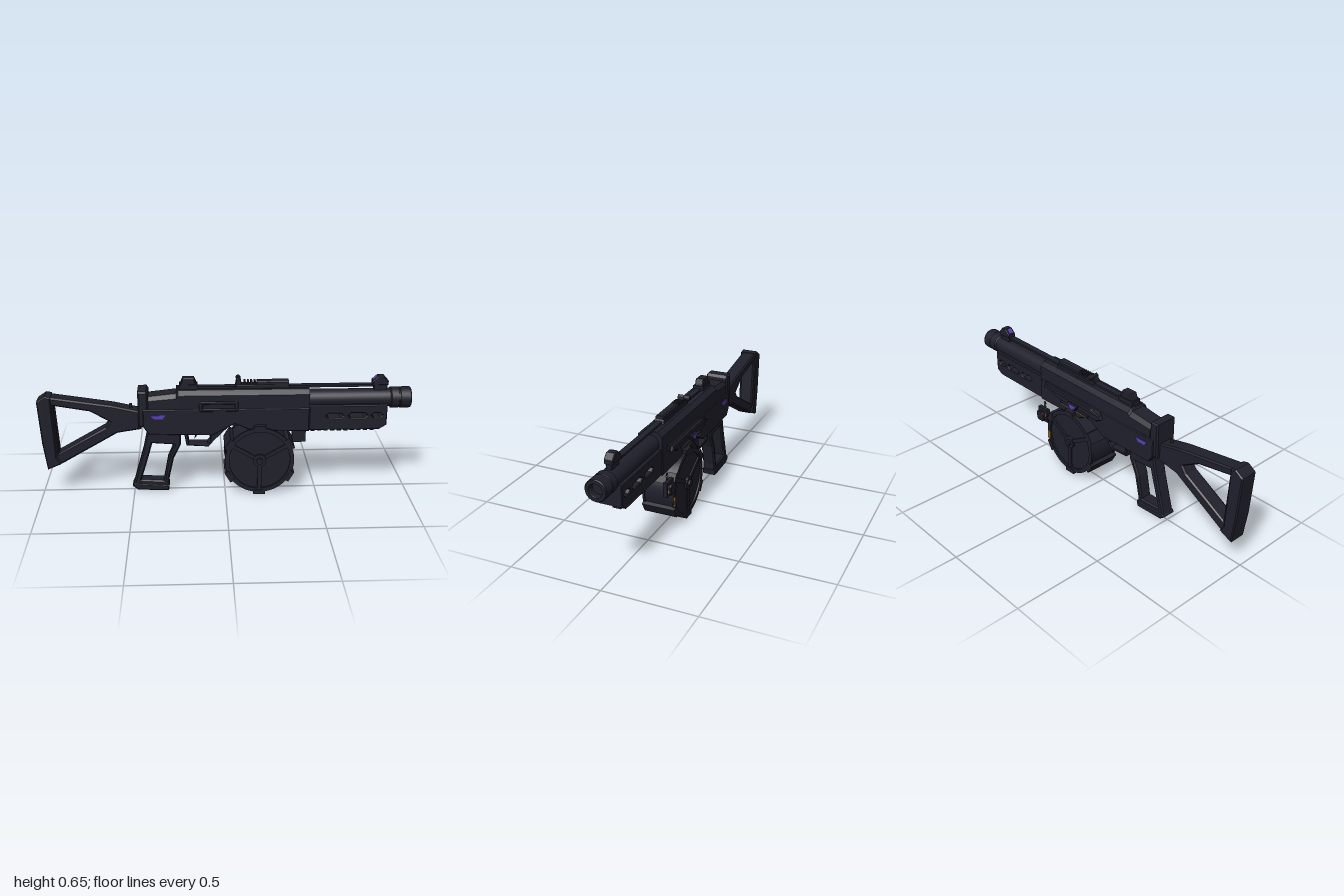
import * as THREE from 'three';

const mat = (name, color) => {
  const m = new THREE.MeshStandardMaterial({ color });
  m.name = name;
  return m;
};

export function createModel() {
  const dark = mat('gunmetal', 0x20202c);
  const purple = mat('purple accent', 0x5b40b8);
  const gold = mat('gold', 0xb07a2c);
  const root = new THREE.Group();
  root.name = 'toyBlaster';

  const add = (name, geo, m = dark, parent = root) => {
    const mesh = new THREE.Mesh(geo, m);
    mesh.name = name;
    parent.add(mesh);
    return mesh;
  };
  // Box given by its extents
  const box = (name, x0, x1, y0, y1, z0, z1, m = dark) => {
    const b = add(name, new THREE.BoxGeometry(x1 - x0, y1 - y0, z1 - z0), m);
    b.position.set((x0 + x1) / 2, (y0 + y1) / 2, (z0 + z1) / 2);
    return b;
  };
  // Counter-clockwise outline, so that walls and holes face the right way
  const outline = (pts) => {
    const v = pts.map(([x, y]) => new THREE.Vector2(x, y));
    return THREE.ShapeUtils.isClockWise(v) ? v.reverse() : v;
  };
  // Side outline extruded across z, with chamfered edges and optional holes
  const plate = (name, pts, z0, z1, bevel = 0, holes = [], m = dark) => {
    const shape = new THREE.Shape(outline(pts));
    holes.forEach((h) => shape.holes.push(new THREE.Path(outline(h).reverse())));
    const geo = new THREE.ExtrudeGeometry(shape, {
      depth: z1 - z0 - 2 * bevel, bevelEnabled: bevel > 0, bevelSize: bevel,
      bevelThickness: bevel, bevelOffset: -bevel, bevelSegments: 1,
    });
    geo.translate(0, 0, z0 + bevel);
    return add(name, geo, m);
  };
  // Chamfered-top section lofted along x; each station is [x, bottom, top, halfWidth, chamfer]
  const loft = (name, stations, zc) => {
    const rings = stations.map(([x, b, t, w, c]) =>
      [[b, -w], [t - c, -w], [t, c - w], [t, w - c], [t - c, w], [b, w]].map(([y, z]) => [x, y, z + zc]));
    const p = [];
    const n = 6;
    for (let i = 0; i < rings.length - 1; i++)
      for (let j = 0; j < n; j++) {
        const k = (j + 1) % n, A = rings[i], B = rings[i + 1];
        p.push(...A[j], ...A[k], ...B[k], ...A[j], ...B[k], ...B[j]);
      }
    const end = rings[rings.length - 1];
    for (let j = 1; j < n - 1; j++) {
      p.push(...rings[0][0], ...rings[0][j + 1], ...rings[0][j]);
      p.push(...end[0], ...end[j], ...end[j + 1]);
    }
    const g = new THREE.BufferGeometry();
    g.setAttribute('position', new THREE.Float32BufferAttribute(p, 3));
    g.computeVertexNormals();
    return add(name, g);
  };
  // Cylinder lying along x, y or z
  const rod = (name, r, len, axis, x, y, z, seg = 24, parent = root) => {
    const g = new THREE.CylinderGeometry(r, r, len, seg);
    if (axis === 'x') g.rotateZ(-Math.PI / 2);
    else if (axis === 'z') g.rotateX(Math.PI / 2);
    add(name, g, dark, parent).position.set(x, y, z);
  };

  // Stock with triangular opening and butt pad
  plate('stock', [[-0.99, 0.53], [-0.95, 0.565], [-0.6, 0.51], [-0.45, 0.475], [-0.45, 0.375],
    [-0.58, 0.355], [-0.885, 0.18], [-0.955, 0.155]], -0.04, 0.043, 0.008,
  [[[-0.915, 0.515], [-0.72, 0.48], [-0.62, 0.42], [-0.645, 0.385], [-0.9, 0.24]]]);
  plate('buttPad', [[-1, 0.54], [-0.955, 0.57], [-0.925, 0.564], [-0.912, 0.22], [-0.89, 0.18],
    [-0.965, 0.148], [-0.985, 0.3]], -0.048, 0.051, 0.006);
  rod('stockPin', 0.008, 0.03, 'y', -0.505, 0.495, 0.003, 10);

  // Receiver
  loft('receiverUpper', [[-0.41, 0.4, 0.562, 0.06, 0.02], [-0.26, 0.4, 0.578, 0.064, 0.022],
    [-0.25, 0.4, 0.595, 0.065, 0.024], [0.45, 0.4, 0.595, 0.065, 0.024]], 0.003);
  plate('receiverLower', [[-0.44, 0.495], [-0.44, 0.4], [-0.41, 0.355], [-0.07, 0.345], [0.05, 0.41],
    [0.14, 0.37], [0.45, 0.362], [0.45, 0.495]], -0.066, 0.071, 0.004);
  plate('rearBlock', [[-0.465, 0.395], [-0.41, 0.395], [-0.41, 0.58], [-0.42, 0.595], [-0.465, 0.595]], -0.062, 0.066, 0.008);

  // Side window on the front
  plate('ejectionFrame', [[-0.14, 0.49], [-0.13, 0.483], [0.06, 0.483], [0.07, 0.49], [0.07, 0.53],
    [0.06, 0.538], [-0.13, 0.538], [-0.14, 0.53]], 0.06, 0.076, 0.003,
  [[[-0.12, 0.498], [0.05, 0.498], [0.05, 0.523], [-0.12, 0.523]]]);

  // Purple marks on both sides
  [[0.071, 0.074], [-0.069, -0.066]].forEach(([a, b]) =>
    plate('sideMark', [[-0.4, 0.465], [-0.38, 0.445], [-0.335, 0.443], [-0.32, 0.465]], a, b, 0, [], purple));

  // Charging cover on the back: backing plate, top rail, lower lip with gold underside
  plate('chargingCover', [[-0.07, 0.455], [-0.03, 0.43], [0.07, 0.43], [0.3, 0.44], [0.39, 0.478],
    [0.39, 0.5], [0.02, 0.5], [-0.05, 0.49]], -0.08, -0.06, 0.005);
  plate('chargingRail', [[-0.06, 0.475], [0.39, 0.475], [0.38, 0.5], [0.0, 0.5]], -0.095, -0.075, 0.004);
  box('chargingLip', 0.03, 0.25, 0.432, 0.442, -0.093, -0.07);
  box('chargingStrip', 0.035, 0.245, 0.426, 0.432, -0.092, -0.082, gold);
  plate('chargingHandle', [[0.1, 0.47], [0.12, 0.435], [0.16, 0.435], [0.18, 0.47]], -0.104, -0.085, 0.003);
  plate('handleMark', [[0.105, 0.469], [0.14, 0.438], [0.175, 0.469]], -0.107, -0.104, 0, [], purple);

  // Grip with opening
  plate('grip', [[-0.42, 0.365], [-0.24, 0.36], [-0.24, 0.28], [-0.28, 0.2], [-0.308, 0.075],
    [-0.31, 0.012], [-0.47, 0.02], [-0.505, 0.04], [-0.445, 0.25]], -0.035, 0.04, 0.008,
  [[[-0.395, 0.29], [-0.275, 0.28], [-0.312, 0.195], [-0.337, 0.065], [-0.46, 0.073], [-0.415, 0.22]]]);
  plate('gripFoot', [[-0.51, 0.038], [-0.48, 0.014], [-0.312, 0.006], [-0.306, 0.04], [-0.5, 0.055]], -0.04, 0.043, 0.006);

  // Trigger and guard
  plate('triggerGuard', [[-0.225, 0.36], [-0.21, 0.272], [-0.09, 0.264], [-0.06, 0.3], [0.04, 0.4], [-0.06, 0.36]],
    -0.03, 0.033, 0.003, [[[-0.205, 0.35], [-0.195, 0.284], [-0.095, 0.28], [-0.08, 0.3], [-0.08, 0.35]]]);
  plate('trigger', [[-0.17, 0.36], [-0.14, 0.36], [-0.145, 0.335], [-0.165, 0.305], [-0.158, 0.335]], -0.01, 0.013);

  // Handguard with three see-through slots
  const slot = (a, b) => [[a, 0.445], [a + 0.016, 0.459], [b - 0.016, 0.459], [b, 0.445], [b - 0.016, 0.431], [a + 0.016, 0.431]];
  plate('handguard', [[0.45, 0.365], [0.83, 0.365], [0.87, 0.39], [0.87, 0.505], [0.45, 0.505]],
    -0.06, 0.065, 0.004, [slot(0.54, 0.636), slot(0.66, 0.765), slot(0.785, 0.848)]);
  for (let i = 0; i < 10; i++) box('lowerRailTooth', 0.465 + i * 0.036, 0.487 + i * 0.036, 0.345, 0.368, -0.019, 0.025);

  // Barrel and hollow muzzle
  rod('barrel', 0.05, 0.47, 'x', 0.67, 0.527, 0.003, 32);
  const muzzle = new THREE.LatheGeometry([[0.05, 0], [0.05, 0.012], [0.057, 0.018], [0.057, 0.058], [0.055, 0.06],
    [0.055, 0.066], [0.057, 0.068], [0.057, 0.12], [0.053, 0.125], [0.036, 0.125], [0.033, 0.118], [0.033, 0.09], [0, 0.09]]
    .map(([x, y]) => new THREE.Vector2(x, y)), 32).toNonIndexed();
  muzzle.computeVertexNormals();
  muzzle.rotateZ(-Math.PI / 2);
  add('muzzle', muzzle).position.set(0.875, 0.527, 0.003);

  // Top rib and the raised cover
  box('topRib', -0.26, 0.87, 0.594, 0.606, -0.014, 0.02);
  plate('topCover', [[0.05, 0.594], [0.35, 0.594], [0.34, 0.614], [0.06, 0.614]], -0.025, 0.03, 0.003);
  loft('topCoverBlock', [[0.17, 0.61, 0.634, 0.022, 0.006], [0.34, 0.61, 0.634, 0.022, 0.006]], 0.003);
  for (let i = 0; i < 4; i++) box('coverRib', 0.1 + i * 0.018, 0.11 + i * 0.018, 0.61, 0.632, -0.018, 0.024);
  plate('coverLatch', [[0.055, 0.61], [0.09, 0.61], [0.085, 0.64], [0.072, 0.65], [0.06, 0.64]], -0.016, 0.022, 0.003);
  rod('latchKnob', 0.013, 0.03, 'z', 0.072, 0.637, -0.03, 10);

  // Sights
  plate('rearSight', [[-0.25, 0.58], [-0.14, 0.58], [-0.155, 0.63], [-0.165, 0.655], [-0.225, 0.655], [-0.235, 0.63]], -0.022, 0.026, 0.005);
  box('rearSightBase', -0.245, -0.145, 0.595, 0.62, -0.027, 0.032);
  plate('frontSight', [[0.79, 0.602], [0.875, 0.602], [0.875, 0.625], [0.85, 0.652], [0.82, 0.652], [0.79, 0.625]], -0.022, 0.026, 0.004);
  const sightMark = add('frontSightMark', new THREE.BoxGeometry(0.03, 0.005, 0.026), purple);
  sightMark.position.set(0.8045, 0.639, 0.002);
  sightMark.rotation.z = Math.atan2(0.027, 0.03);
  box('frontSightFoot', 0.8, 0.87, 0.56, 0.605, -0.012, 0.018);

  // Drum magazine
  const drum = new THREE.Group();
  drum.name = 'drum';
  drum.position.set(0.185, 0.203, 0.0025);
  root.add(drum);
  rod('drumBody', 0.183, 0.164, 'z', 0, 0, 0, 48, drum);
  const ring = new THREE.Shape().absarc(0, 0, 0.188, 0, Math.PI * 2);
  ring.holes.push(new THREE.Path().absarc(0, 0, 0.165, 0, Math.PI * 2, true));
  for (const s of [1, -1]) {
    const face = new THREE.Group();
    face.name = 'drumFace';
    face.rotation.y = s > 0 ? 0 : Math.PI;
    drum.add(face);
    const rim = add('drumRim', new THREE.ExtrudeGeometry(ring, { depth: 0.013, bevelEnabled: false, curveSegments: 48 }), dark, face);
    rim.position.z = 0.078;
    rod('drumHub', 0.036, 0.016, 'z', 0, 0, 0.087, 24, face);
    rod('drumBolt', 0.018, 0.026, 'z', 0, 0, 0.093, 12, face);
    for (const a of [30, 150, 270]) {
      const t = a * Math.PI / 180;
      const spoke = add('drumSpoke', new THREE.BoxGeometry(0.14, 0.022, 0.012), dark, face);
      spoke.position.set(Math.cos(t) * 0.1, Math.sin(t) * 0.1, 0.084);
      spoke.rotation.z = t;
    }
  }
  for (let i = 0; i < 6; i++) {
    const t = Math.PI / 6 + i * Math.PI / 3;
    const lug = add('drumLug', new THREE.BoxGeometry(0.026, 0.064, 0.186), dark, drum);
    lug.position.set(Math.cos(t) * 0.188, Math.sin(t) * 0.188, 0);
    lug.rotation.z = t;
  }
  box('drumClip', 0.352, 0.368, 0.15, 0.2, -0.092, -0.088, gold);

  // Hanging charm on a short chain
  for (let i = 0; i < 3; i++) {
    const link = add('chainLink', new THREE.TorusGeometry(0.007, 0.0025, 6, 12), i === 1 ? gold : dark);
    link.position.set(0.413, 0.355 - i * 0.012, -0.07);
    link.rotation.y = i % 2 ? Math.PI / 2 : 0;
  }
  box('charm', 0.376, 0.452, 0.242, 0.323, -0.088, -0.066);
  box('charmTrim', 0.387, 0.442, 0.262, 0.3, -0.093, -0.088, gold);
  plate('charmFace', [[0.385, 0.262], [0.397, 0.25], [0.432, 0.25], [0.444, 0.262], [0.444, 0.3], [0.432, 0.31],
    [0.397, 0.31], [0.385, 0.3]], -0.108, -0.092, 0.003);
  return root;
}
